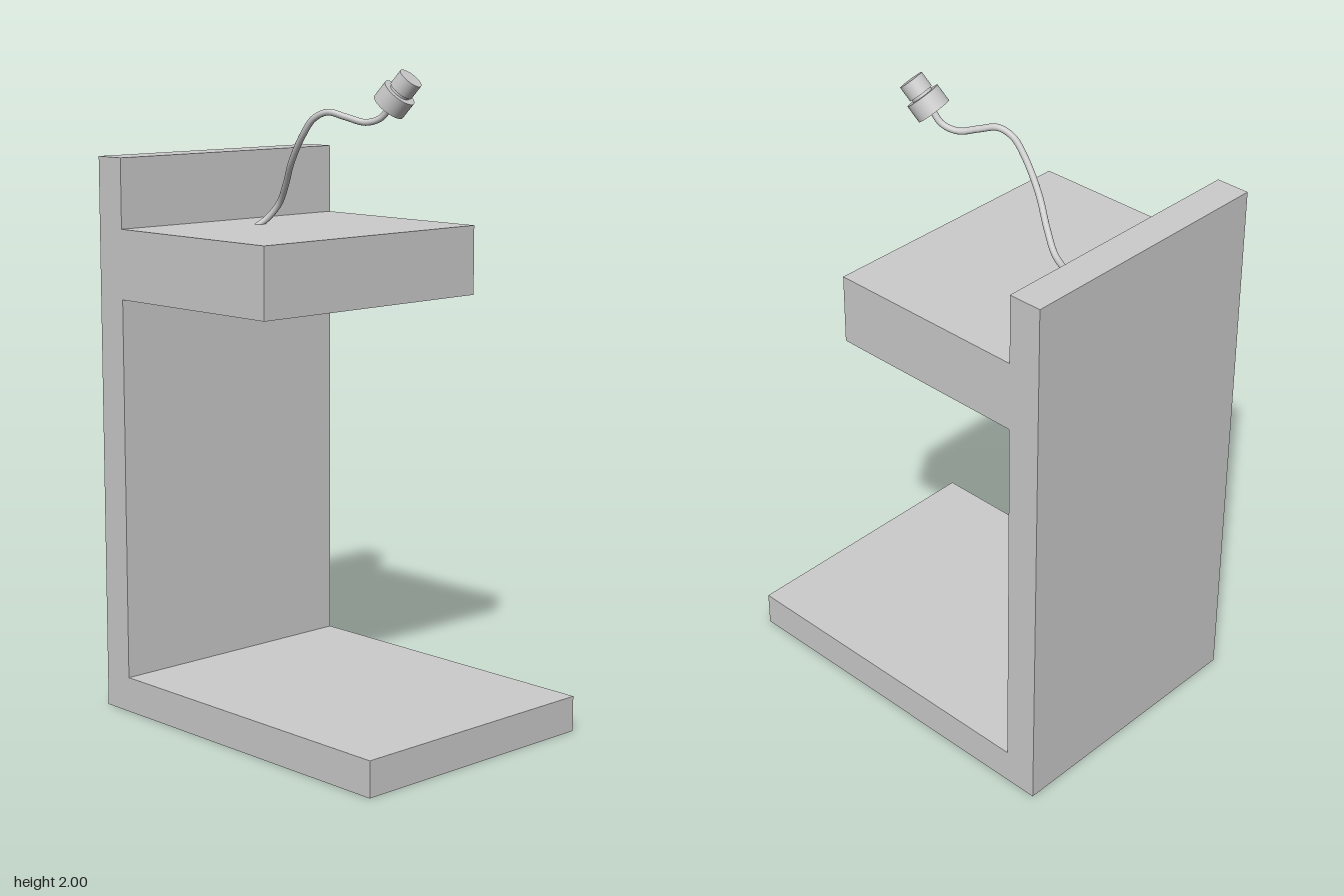
import * as THREE from 'three';

const grey = new THREE.MeshStandardMaterial({ color: 0xcccccc });

function addMesh(parent, name, geometry) {
  const mesh = new THREE.Mesh(geometry, grey);
  mesh.name = name;
  parent.add(mesh);
  return mesh;
}

export function createModel() {
  const model = new THREE.Group();
  model.name = 'standWithFlexibleLamp';

  // C-shaped stand: base, upright back panel and raised shelf in one profile
  const profile = new THREE.Shape([
    [-0.593, 0], [0.593, 0], [0.593, 0.11], [-0.487, 0.11],
    [-0.487, 1.3], [0.16, 1.3], [0.16, 1.515], [-0.487, 1.515],
    [-0.487, 1.73], [-0.593, 1.73],
  ].map(([x, y]) => new THREE.Vector2(x, y)));
  const depth = 0.864;
  const stand = new THREE.ExtrudeGeometry(profile, { depth, bevelEnabled: false });
  stand.translate(0, 0, -depth / 2);
  addMesh(model, 'stand', stand);

  // Bent gooseneck rising from the shelf
  const path = new THREE.CatmullRomCurve3([
    [-0.33, 1.505, 0.032], [-0.305, 1.535, 0.002], [-0.27, 1.58, -0.013],
    [-0.22, 1.64, 0.005], [-0.16, 1.715, 0.035], [-0.09, 1.8, 0.052],
    [-0.045, 1.85, 0.05], [0, 1.87, 0.035], [0.05, 1.857, 0.01],
    [0.105, 1.842, -0.02], [0.15, 1.857, -0.04], [0.185, 1.9, -0.048],
  ].map((p) => new THREE.Vector3(...p)));
  addMesh(model, 'gooseneck', new THREE.TubeGeometry(path, 96, 0.01, 12));

  // Lamp head: wide collar, recessed neck and narrower cap on a tilted axis
  const head = new THREE.Group();
  head.name = 'lampHead';
  const start = new THREE.Vector3(0.175, 1.889, -0.045);
  const end = new THREE.Vector3(0.243, 1.973, -0.068);
  head.position.copy(start);
  head.quaternion.setFromUnitVectors(
    new THREE.Vector3(0, 1, 0), end.clone().sub(start).normalize());
  const sections = [
    ['collar', 0.053, 0, 0.055],
    ['neck', 0.033, 0.05, 0.068],
    ['cap', 0.038, 0.063, start.distanceTo(end)],
  ];
  for (const [name, radius, from, to] of sections) {
    addMesh(head, name, new THREE.CylinderGeometry(radius, radius, to - from, 40))
      .position.y = (from + to) / 2;
  }
  model.add(head);

  return model;
}
